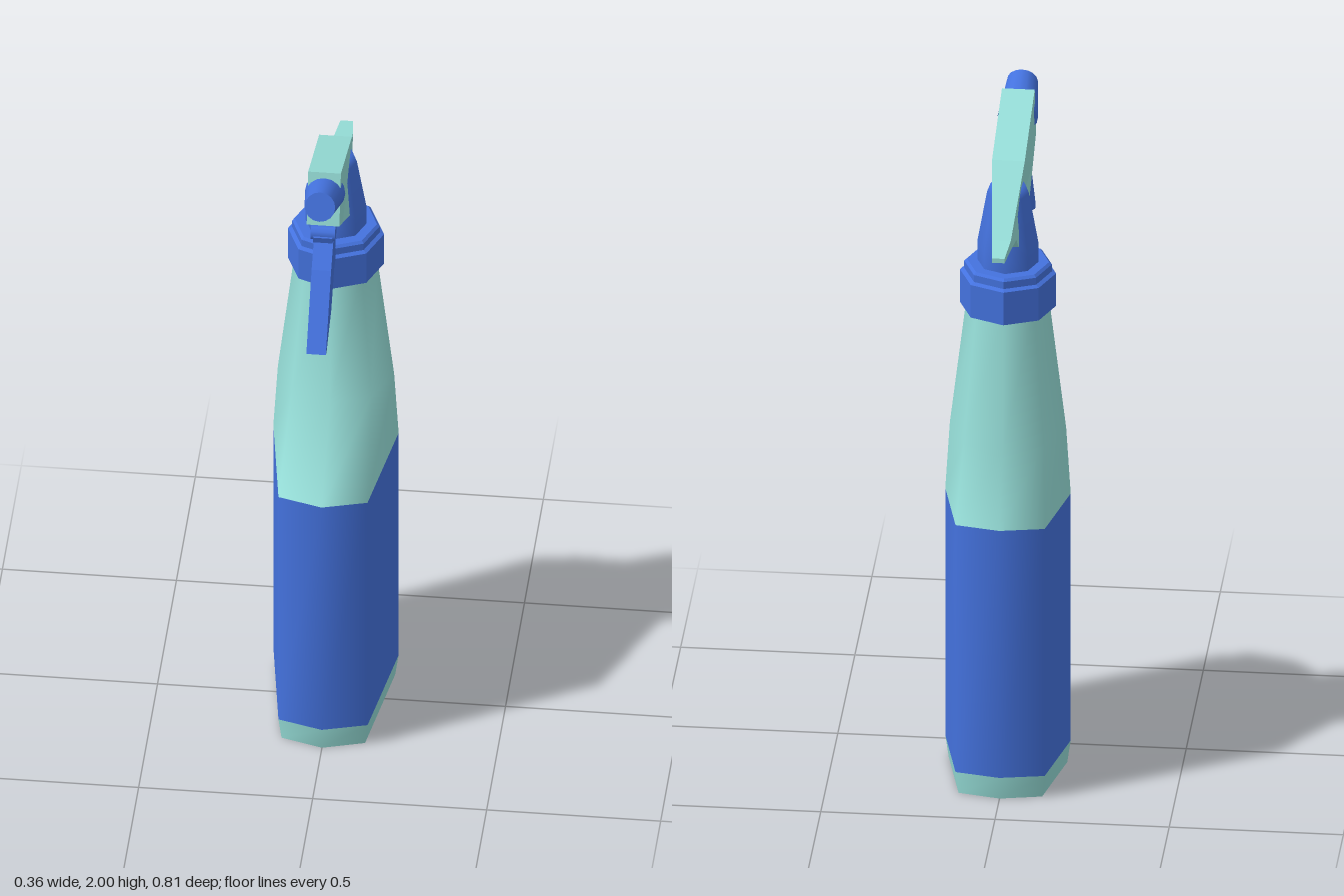
import * as THREE from 'three';

const GREEN = 0x96ded8, BLUE = 0x4472de;
const AXIS = -0.118; // z of the neck axis

function mat(color, flat = false) {
  return new THREE.MeshStandardMaterial({ color, flatShading: flat });
}

function add(group, name, geometry, material) {
  const mesh = new THREE.Mesh(geometry, material);
  mesh.name = name;
  group.add(mesh);
  return mesh;
}

// Eight-sided ring: front z, front corner, side x, back corner, back z
function ring(y, zf, [fx, fz], sx, [bx, bz], zb) {
  return [[0, zf], [fx, fz], [sx, AXIS], [bx, bz], [0, zb], [-bx, bz], [-sx, AXIS], [-fx, fz]]
    .map(([x, z]) => [x, y, z]);
}

// Skin a stack of rings, optionally closing the bottom
function loft(rings, closeBottom = false) {
  const n = rings[0].length, pos = rings.flat(2), idx = [];
  for (let r = 0; r < rings.length - 1; r++) {
    for (let i = 0; i < n; i++) {
      const a = r * n + i, b = r * n + (i + 1) % n;
      idx.push(a, b, b + n, a, b + n, a + n);
    }
  }
  if (closeBottom) {
    const s = pos.length / 3;
    pos.push(...rings[0].flat());
    for (let i = 1; i < n - 1; i++) idx.push(s, s + i + 1, s + i);
  }
  const g = new THREE.BufferGeometry();
  g.setAttribute('position', new THREE.Float32BufferAttribute(pos, 3));
  g.setIndex(idx);
  g.computeVertexNormals();
  return g;
}

// Side profile of [z, y] points extruded across x; halfWidth(z) gives the taper
function plate(points, halfWidth) {
  const shape = new THREE.Shape(points.map(([z, y]) => new THREE.Vector2(z, y)));
  const g = new THREE.ExtrudeGeometry(shape, { depth: 2, bevelEnabled: false, steps: 1 });
  g.translate(0, 0, -1).rotateY(-Math.PI / 2);
  const p = g.attributes.position;
  for (let i = 0; i < p.count; i++) p.setX(i, p.getX(i) * halfWidth(p.getZ(i)));
  g.computeVertexNormals();
  return g;
}

function lathe(points) {
  const g = new THREE.LatheGeometry(points.map(([r, y]) => new THREE.Vector2(r, y)), 8);
  return g.translate(0, 0, AXIS);
}

// Round bar between two [y, z] points on the centre plane
function bar([y0, z0], [y1, z1], r0, r1, sides) {
  const a = new THREE.Vector3(0, y0, z0), b = new THREE.Vector3(0, y1, z1);
  const dir = b.clone().sub(a);
  const g = new THREE.CylinderGeometry(r1, r0, dir.length(), sides);
  g.applyQuaternion(new THREE.Quaternion().setFromUnitVectors(
    new THREE.Vector3(0, 1, 0), dir.normalize()));
  const mid = a.add(b).multiplyScalar(0.5);
  return g.translate(mid.x, mid.y, mid.z);
}

export function createModel() {
  const model = new THREE.Group();
  model.name = 'sprayBottle';

  // Bottle: base, label band, shoulder and neck
  const bottle = new THREE.Group();
  bottle.name = 'bottle';
  model.add(bottle);
  const body = y => ring(y, 0.263, [0.128, 0.226], 0.18, [0.128, -0.35], -0.375);
  add(bottle, 'base', loft([
    ring(0, 0.254, [0.12, 0.218], 0.17, [0.12, -0.342], -0.367), body(0.07),
  ], true), mat(GREEN));
  add(bottle, 'label', loft([body(0.07), body(0.86)]), mat(BLUE));
  add(bottle, 'shoulderAndNeck', loft([
    body(0.86),
    ring(1.07, 0.045, [0.115, 0], 0.167, [0.115, -0.24], -0.28),
    ring(1.48, 0, [0.083, -0.035], 0.118, [0.083, -0.201], -0.236),
  ]), mat(GREEN));

  // Screw collar with its stepped top
  add(model, 'collar', lathe([
    [0.08, 1.458], [0.138, 1.458], [0.138, 1.562], [0.126, 1.568],
    [0.126, 1.59], [0.118, 1.597], [0, 1.597],
  ]), mat(BLUE, true));

  // Tapered dome that carries the head
  add(model, 'dome', lathe([
    [0.088, 1.59], [0.088, 1.655], [0.074, 1.735], [0.06, 1.815],
    [0.05, 1.842], [0, 1.848],
  ]), mat(BLUE));

  // Head with its rear tail, narrowing toward the back
  const headWidth = z => z > -0.106 ? 0.047 : THREE.MathUtils.mapLinear(z, -0.106, -0.403, 0.047, 0.018);
  add(model, 'head', plate([
    [0.185, 1.993], [0.226, 1.835], [0.14, 1.785], [-0.053, 1.67], [-0.196, 1.68],
    [-0.23, 1.72], [-0.31, 1.727], [-0.403, 1.731], [-0.403, 1.745],
    [-0.31, 1.757], [-0.106, 1.91],
  ], headWidth), mat(GREEN));

  // Nozzle
  add(model, 'nozzle', bar([1.912, 0.17], [1.96, 0.307], 0.058, 0.044, 16), mat(BLUE));

  // Trigger lever, pivot pin and pump rod
  const trigger = new THREE.Group();
  trigger.name = 'trigger';
  model.add(trigger);
  add(trigger, 'lever', plate([
    [0.24, 1.8], [0.207, 1.828], [0.143, 1.825], [0.143, 1.767], [0.16, 1.71],
    [0.148, 1.665], [0.186, 1.657], [0.265, 1.565], [0.393, 1.507],
    [0.41, 1.512], [0.27, 1.708], [0.21, 1.77], [0.235, 1.78],
  ], () => 0.028), mat(BLUE));
  add(trigger, 'pivotPin', new THREE.CylinderGeometry(0.022, 0.022, 0.07, 10)
    .rotateZ(Math.PI / 2).translate(0, 1.803, 0.215), mat(BLUE));
  add(trigger, 'pumpRod', bar([1.69, 0.155], [1.755, 0.02], 0.022, 0.022, 10), mat(BLUE));

  return model;
}
